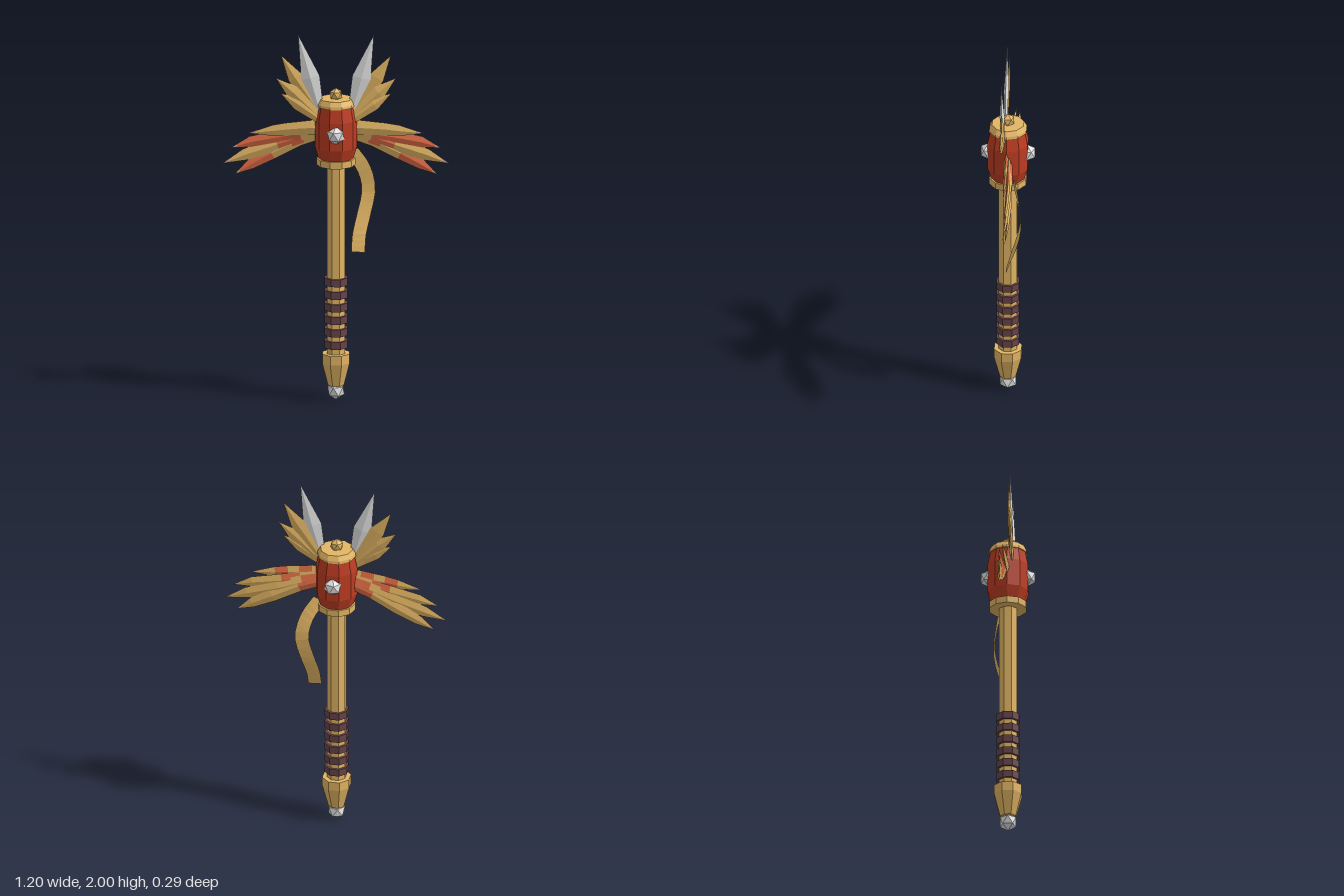
import * as THREE from 'three';

const mat = (name, color, side = THREE.FrontSide) => {
  const m = new THREE.MeshStandardMaterial({ color, side });
  m.name = name;
  return m;
};

// Faceted look: every face gets its own normal
const facet = (geo) => {
  const g = geo.index ? geo.toNonIndexed() : geo;
  g.computeVertexNormals();
  return g;
};

export function createModel() {
  const root = new THREE.Group();
  root.name = 'wingedMace';
  const gold = mat('gold', 0xe2b564);
  const red = mat('barrelRed', 0xbc3c22);
  const coral = mat('featherRed', 0xe06c46);
  const silver = mat('silver', 0xe2e2e2);
  const rose = mat('featherTip', 0xcfa596);
  const leather = mat('leather', 0x66444a);
  const cloth = mat('ribbonCloth', 0xe2b564, THREE.DoubleSide);

  const add = (name, geo, material, parent = root) => {
    const mesh = new THREE.Mesh(facet(geo), material);
    mesh.name = name;
    parent.add(mesh);
    return mesh;
  };

  // Turned part from a [radius, y] profile, bottom to top
  const turned = (name, profile, sides, start, material) => add(name,
    new THREE.LatheGeometry(profile.map(([r, y]) => new THREE.Vector2(r, y)), sides, start), material);
  const OCT = Math.PI / 8, DEC = Math.PI / 2;

  // Handle
  turned('shaft', [[0.052, 0.22], [0.052, 1.3]], 8, OCT, gold);
  turned('pommel', [[0, 0.08], [0.045, 0.08], [0.078, 0.205], [0.078, 0.255], [0, 0.255]], 8, OCT, gold);
  for (let i = 0; i < 6; i++) {
    const y = 0.307 + i * 0.0685;
    turned('gripBand', [[0, y - 0.02], [0.065, y - 0.02], [0.065, y + 0.02], [0, y + 0.02]], 8, OCT, leather);
  }

  // Head
  turned('headCollar', [[0, 1.285], [0.102, 1.285], [0.102, 1.322], [0, 1.322]], 10, DEC, gold);
  turned('headBarrel', [[0, 1.32], [0.092, 1.32], [0.112, 1.385], [0.112, 1.535], [0.096, 1.612], [0, 1.612]], 10, DEC, red);
  turned('headCap', [[0, 1.605], [0.104, 1.608], [0.102, 1.622], [0.087, 1.648], [0, 1.648]], 10, DEC, gold);
  turned('finialNeck', [[0.02, 1.64], [0.02, 1.66]], 8, OCT, gold);

  // Faceted gems, one corner pointing up
  const gem = (name, r, material, x, y, z) => add(name,
    new THREE.IcosahedronGeometry(r, 0).rotateZ(Math.atan(0.618034)), material).position.set(x, y, z);
  gem('finial', 0.037, gold, 0, 1.667, 0);
  gem('pommelGem', 0.05, silver, 0, 0.05, 0);
  for (const s of [1, -1]) gem('headStud', 0.05, silver, 0, 1.47, s * 0.1);

  // Feather: diamond sections [x, y, halfWidth, z]; colour letters per segment for front and back
  const palette = [gold, coral, silver, rose];
  const feather = (name, rows, front, back, side, parent) => {
    const sections = rows.map(([x, y, w, z], i) => {
      const a = rows[Math.max(i - 1, 0)], b = rows[Math.min(i + 1, rows.length - 1)];
      const len = Math.hypot(b[0] - a[0], b[1] - a[1]);
      const nx = -(b[1] - a[1]) / len * w, ny = (b[0] - a[0]) / len * w, t = w * 0.27;
      return [[x + nx, y + ny, z], [x, y, z + t], [x - nx, y - ny, z], [x, y, z - t]]
        .map(([px, py, pz]) => [px * side, py, pz]);
    });
    const pos = [], geo = new THREE.BufferGeometry();
    for (let i = 0; i < sections.length - 1; i++) {
      const a = sections[i], b = sections[i + 1];
      for (let k = 0; k < 4; k++) {
        const n = (k + 1) % 4;
        if (k % 2 === 0) geo.addGroup(pos.length / 3, 12, 'grsp'.indexOf((k ? back : front)[i]));
        for (const t of [[a[k], a[n], b[n]], [a[k], b[n], b[k]]]) {
          if (side < 0) t.reverse();
          pos.push(...t.flat());
        }
      }
    }
    geo.setAttribute('position', new THREE.Float32BufferAttribute(pos, 3));
    add(name, geo, palette, parent);
  };

  // Splits the last segment so a wing feather ends in a small pale tip
  const tipped = (rows) => {
    const [a, b] = rows.slice(-2);
    return [...rows.slice(0, -1), a.map((v, i) => v + (b[i] - v) * 0.68), b];
  };

  const feathers = [
    ['silverBlade', [[0.085, 1.58, 0.022, 0.02], [0.135, 1.765, 0.05, 0.02], [0.2, 2, 0, 0.02]], 'ss', 'ss'],
    // Upper fan
    ['fanFeather', [[0.085, 1.57, 0.025, 0.016], [0.215, 1.765, 0.04, 0.016], [0.29, 1.885, 0, 0.012]], 'gg', 'gg'],
    ['fanFeather', [[0.085, 1.55, 0.03, 0.022], [0.225, 1.685, 0.04, 0.02], [0.317, 1.762, 0, 0.015]], 'gg', 'gg'],
    ['fanFeather', [[0.085, 1.54, 0.025, 0.026], [0.2, 1.622, 0.035, 0.024], [0.293, 1.68, 0, 0.02]], 'gg', 'gg'],
    // Lower wing
    ['wingFeather', tipped([[0.06, 1.49, 0.04, 0], [0.13, 1.487, 0.04, 0], [0.2, 1.482, 0.036, -0.003],
      [0.26, 1.477, 0.034, -0.005], [0.33, 1.468, 0.03, -0.008], [0.465, 1.453, 0, -0.01]]), 'gggggp', 'grgrgp'],
    ['wingFeather', tipped([[0.08, 1.47, 0.034, -0.012], [0.19, 1.45, 0.036, -0.016], [0.29, 1.432, 0.036, -0.024],
      [0.45, 1.402, 0.03, -0.026], [0.555, 1.37, 0, -0.02]]), 'grrrp', 'grggp'],
    ['wingFeather', tipped([[0.08, 1.46, 0.034, -0.016], [0.18, 1.435, 0.038, -0.024], [0.31, 1.388, 0.04, -0.03],
      [0.48, 1.332, 0.032, -0.026], [0.6, 1.285, 0, -0.018]]), 'grggp', 'rgggp'],
    ['wingFeather', tipped([[0.08, 1.45, 0.03, -0.022], [0.2, 1.41, 0.034, -0.03], [0.34, 1.338, 0.036, -0.036],
      [0.45, 1.278, 0.028, -0.032], [0.535, 1.225, 0, -0.024]]), 'ggrrp', 'rgggp'],
  ];
  for (const side of [1, -1]) {
    const wing = new THREE.Group();
    wing.name = side > 0 ? 'leftWing' : 'rightWing';
    root.add(wing);
    for (const [name, rows, f, b] of feathers) feather(name, rows, f, b, side, wing);
  }

  // Hanging ribbon: a strip swept along a curve
  const path = new THREE.CatmullRomCurve3([
    [0.085, 1.345, -0.035], [0.145, 1.25, -0.065], [0.172, 1.13, -0.08],
    [0.145, 0.99, -0.055], [0.122, 0.89, -0.025], [0.117, 0.805, 0],
  ].map((p) => new THREE.Vector3(...p)));
  const ribbon = new THREE.PlaneGeometry(1, 1, 1, 14);
  const rp = ribbon.attributes.position;
  for (let i = 0; i < rp.count; i++) {
    const u = 0.5 - rp.getY(i), s = rp.getX(i) * 0.072;
    const p = path.getPoint(u), d = path.getTangent(u);
    const len = Math.hypot(d.x, d.y);
    rp.setXYZ(i, p.x - d.y / len * s, p.y + d.x / len * s, p.z - s * 0.25 * (1 - u));
  }
  add('ribbon', ribbon, cloth);
  return root;
}
